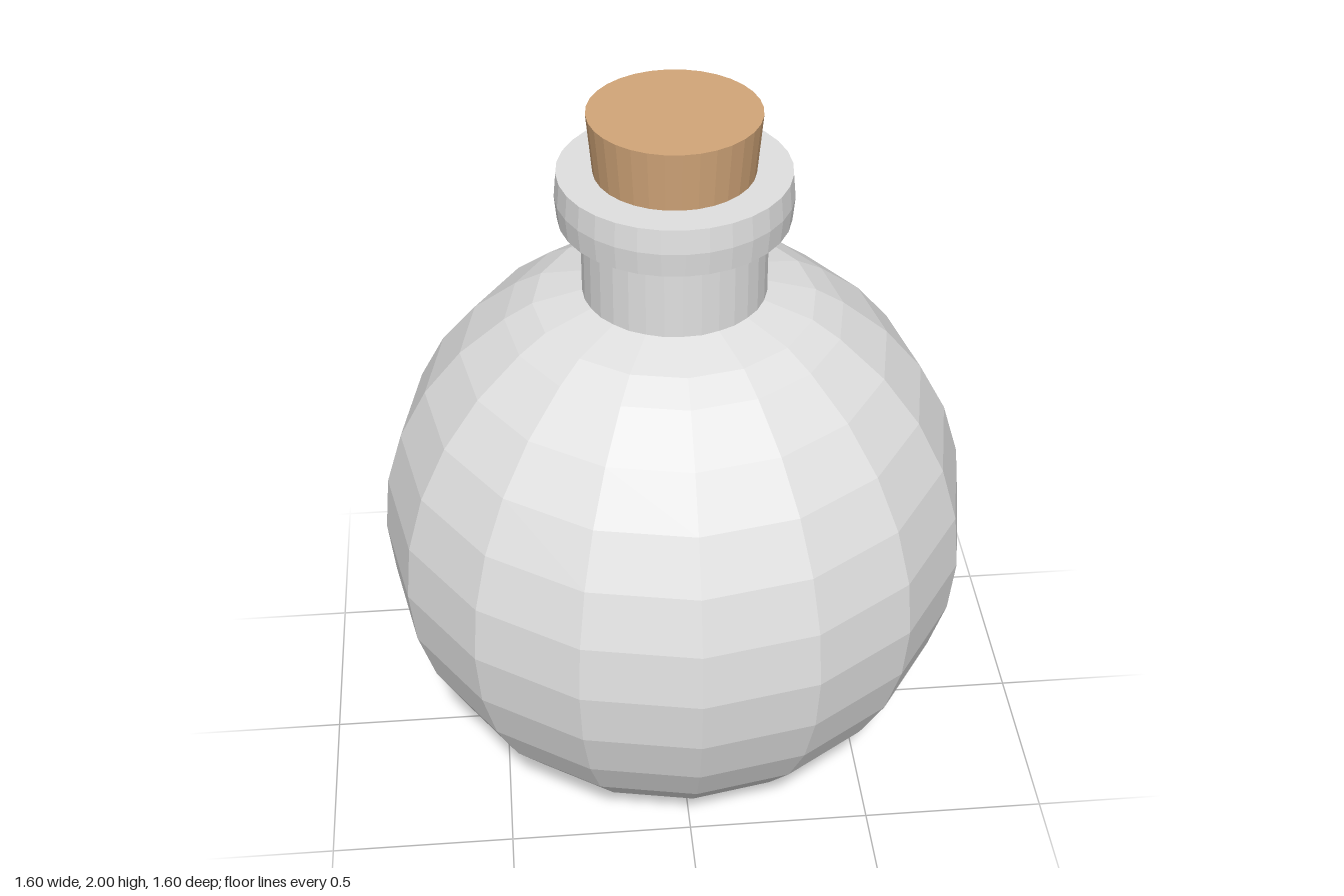
import * as THREE from 'three';

const glass = new THREE.MeshStandardMaterial({ color: 0xe0e0e0, flatShading: true });
glass.name = 'pale grey glass';
const cork = new THREE.MeshStandardMaterial({ color: 0xd2a679, flatShading: true });
cork.name = 'cork brown';

// Turned part from [radius, height] pairs, listed bottom to top
function turned(name, profile, sides, material) {
  const points = profile.map(([r, y]) => new THREE.Vector2(r, y));
  const mesh = new THREE.Mesh(new THREE.LatheGeometry(points, sides), material);
  mesh.name = name;
  return mesh;
}

export function createModel() {
  const group = new THREE.Group();
  group.name = 'corkedFlask';

  // Round body: sphere rings, with flattened bottom and shoulder
  const radius = 0.8, centre = 0.75;
  const body = [[0, 0], [0.25, 0], [0.37, 0.04]];
  for (let i = -5; i <= 5; i++) {
    const a = (i * Math.PI) / 16;
    body.push([radius * Math.cos(a), centre + radius * Math.sin(a)]);
  }
  body.push([0.37, 1.46], [0.24, 1.495], [0, 1.495]);
  group.add(turned('body', body, 16, glass));

  // Straight neck
  group.add(turned('neck', [[0.24, 1.48], [0.24, 1.72]], 32, glass));

  // Slightly bulged lip around the mouth
  group.add(turned('lip', [
    [0, 1.71], [0.298, 1.71], [0.304, 1.775], [0.298, 1.84], [0, 1.84],
  ], 32, glass));

  // Tapered stopper
  group.add(turned('stopper', [[0.205, 1.83], [0.22, 2], [0, 2]], 32, cork));

  return group;
}
